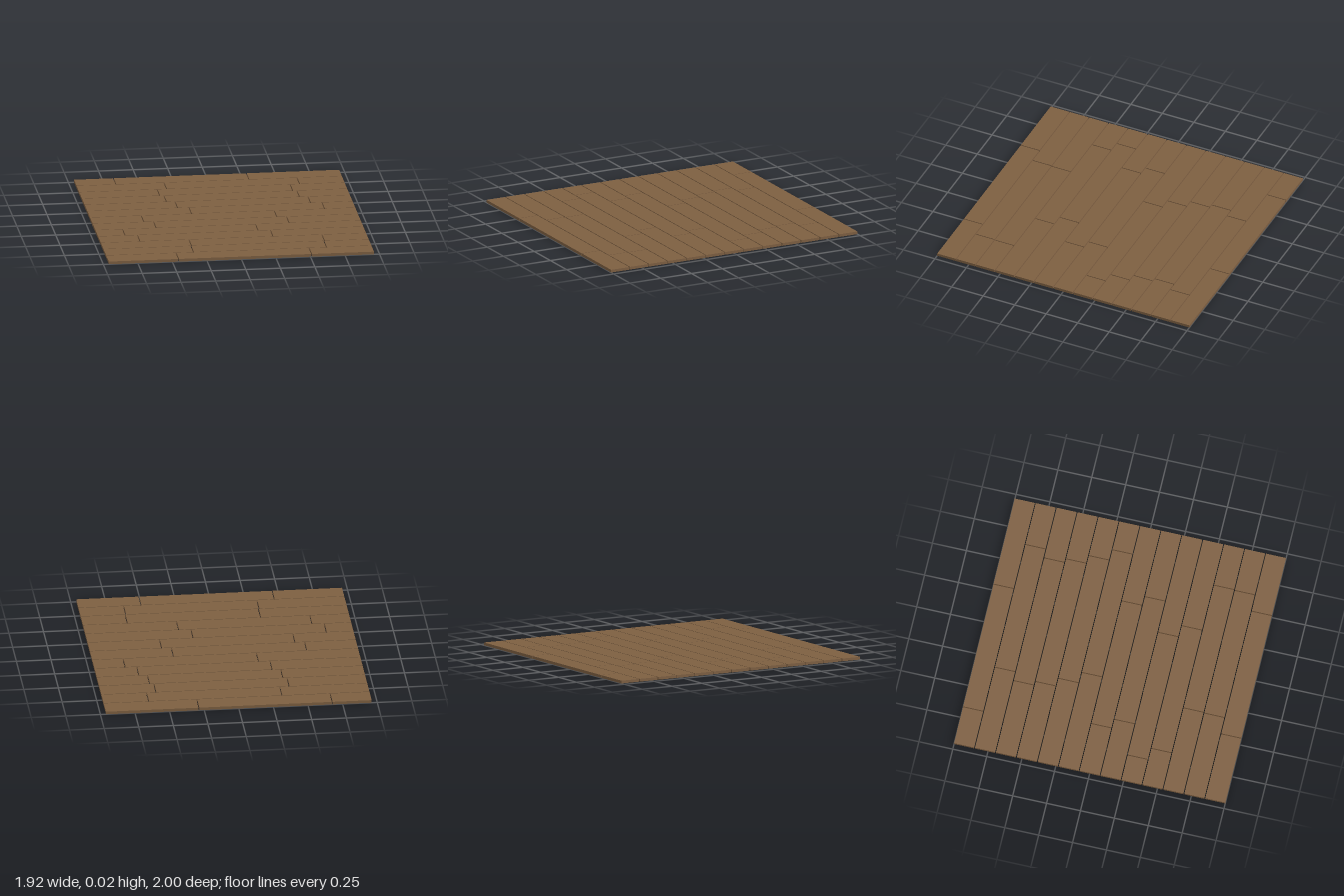
import * as THREE from 'three';

const HALF_WIDTH = 0.96;   // floor extent along x
const THICKNESS = 0.02;
const GAP = 0.007;         // open seam between boards
const JOINT_SPACING = 0.963;

// First butt joint of each row, from back (-z) to front (+z)
const FIRST_JOINTS = [
  -0.675, -0.328, -0.397, -0.368, -0.307, -0.225, -0.59,
  -0.521, -0.765, -0.677, -0.323, -0.328, -0.455,
];

export function createModel() {
  const floor = new THREE.Group();
  floor.name = 'plankFloor';

  const wood = new THREE.MeshStandardMaterial({ color: 0x7d5f41 });
  wood.name = 'brown wood';

  const rows = FIRST_JOINTS.length;
  const boardWidth = (2 - GAP * (rows - 1)) / rows;

  FIRST_JOINTS.forEach((joint, i) => {
    const row = new THREE.Group();
    row.name = `plankRow${i + 1}`;
    row.position.z = -1 + boardWidth / 2 + i * (boardWidth + GAP);

    // Each row: a cut board, a full board and another cut board
    const spans = [
      [-HALF_WIDTH, joint - GAP / 2],
      [joint + GAP / 2, joint + JOINT_SPACING - GAP / 2],
      [joint + JOINT_SPACING + GAP / 2, HALF_WIDTH],
    ];
    spans.forEach(([x0, x1], j) => {
      const plank = new THREE.Mesh(new THREE.BoxGeometry(x1 - x0, THICKNESS, boardWidth), wood);
      plank.name = `plank${j + 1}`;
      plank.position.set((x0 + x1) / 2, THICKNESS / 2, 0);
      row.add(plank);
    });
    floor.add(row);
  });

  return floor;
}
